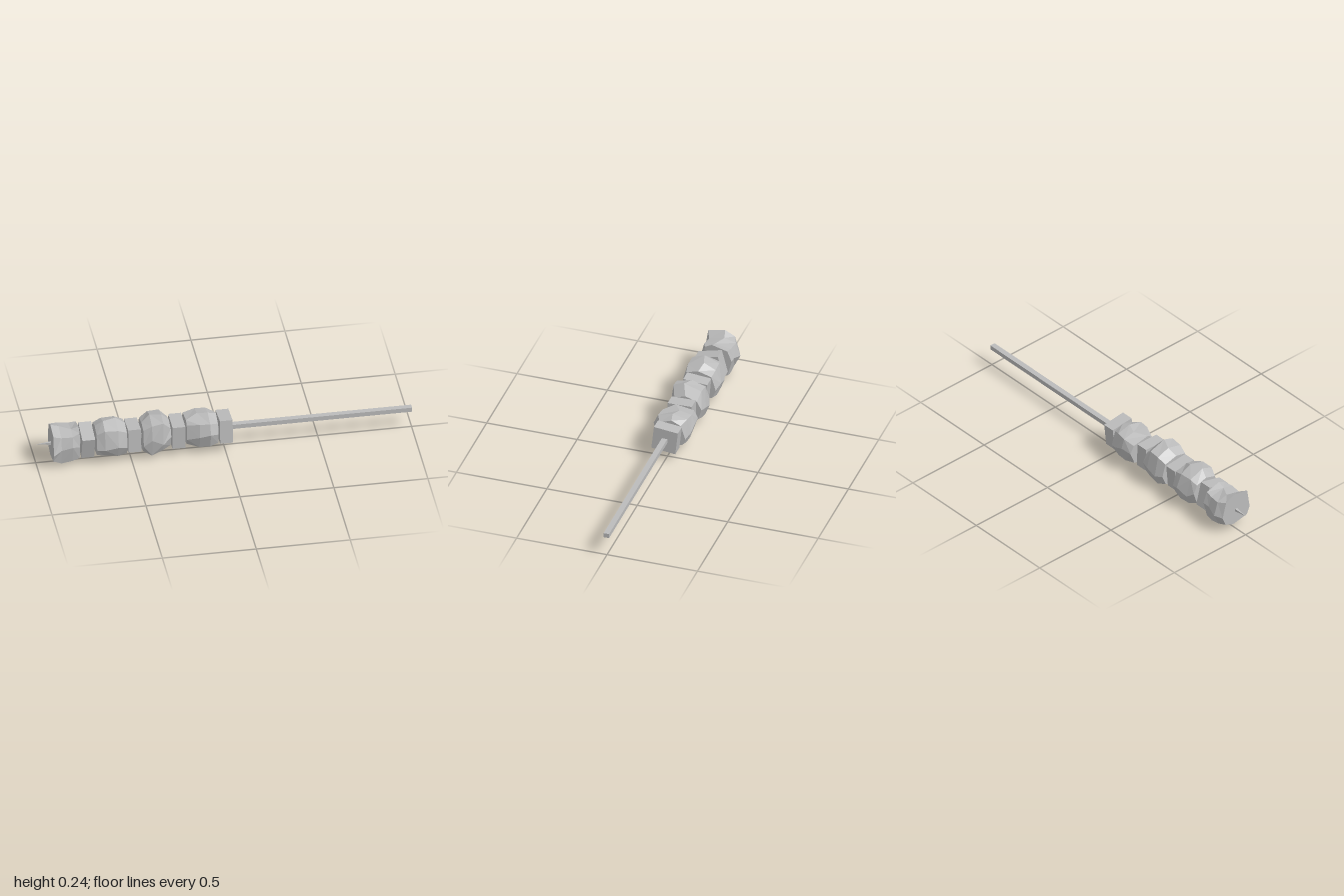
import * as THREE from 'three';

const AXIS_Y = 0.12, AXIS_Z = 0.004;

// small seeded generator for the uneven cuts of the chunks
function seeded(seed) {
  let s = seed;
  return () => (s = (s * 16807) % 2147483647) / 2147483647;
}

// faceted chunk from cross-sections [x, bottom, top, back z, front z]
function chunkGeometry(sections, seed) {
  const rand = seeded(seed), n = 8, pos = [], idx = [];
  for (const [x, y0, y1, z0, z1] of sections) {
    for (let j = 0; j < n; j++) {
      const a = (j / n) * Math.PI * 2;
      const c = Math.cos(a), s = Math.sin(a);
      const k = j % 2 ? 0.98 + rand() * 0.2 : 1;
      const slide = j % 2 ? 0 : (rand() - 0.5) * 0.05;
      const y = AXIS_Y + s * k * (s > 0 ? y1 - AXIS_Y : AXIS_Y - y0) + slide * Math.abs(c);
      const z = c * k * (c > 0 ? z1 : -z0) + slide * Math.abs(s);
      pos.push(x, y, z);
    }
  }
  const last = (sections.length - 1) * n;
  for (let i = 0; i < last; i += n) {
    for (let j = 0; j < n; j++) {
      const a = i + j, b = i + ((j + 1) % n), c = a + n, d = b + n;
      if (rand() > 0.5) idx.push(a, c, b, b, c, d);
      else idx.push(a, c, d, a, d, b);
    }
  }
  // end caps
  const mid = pos.length / 3;
  pos.push(sections[0][0], AXIS_Y, 0, sections.at(-1)[0], AXIS_Y, 0);
  for (let j = 0; j < n; j++) {
    const k = (j + 1) % n;
    idx.push(mid, j, k, mid + 1, last + k, last + j);
  }
  const g = new THREE.BufferGeometry();
  g.setAttribute('position', new THREE.Float32BufferAttribute(pos, 3));
  g.setIndex(idx);
  const flat = g.toNonIndexed();
  flat.computeVertexNormals();
  return flat;
}

export function createModel() {
  const model = new THREE.Group();
  model.name = 'skewer';
  const grey = new THREE.MeshStandardMaterial({ color: 0xbbbbbb });
  grey.name = 'grey';
  grey.flatShading = true;
  const add = (name, geometry, x, y = AXIS_Y, z = AXIS_Z) => {
    const mesh = new THREE.Mesh(geometry, grey);
    mesh.name = name;
    mesh.position.set(x, y, z);
    model.add(mesh);
    return mesh;
  };

  // square stick with a sharpened end
  add('stick', new THREE.BoxGeometry(1.85, 0.025, 0.03), 0.075);
  const tip = new THREE.ConeGeometry(0.019, 0.15, 4);
  tip.rotateY(Math.PI / 4).rotateZ(Math.PI / 2);
  add('stickTip', tip, -0.925);

  // square slices, each turned a little around the stick
  [[-0.732, 0.25], [-0.485, -0.09], [-0.25, 0.02], [0.003, -0.11]].forEach(([x, turn], i) => {
    const slice = add('slice' + (i + 1), new THREE.BoxGeometry(0.068, 0.133, 0.133), x);
    slice.rotation.x = turn;
  });

  // faceted chunks between the slices
  const chunks = [
    [[-0.92, 0.035, 0.225, -0.09, 0.1], [-0.875, 0.01, 0.205, -0.11, 0.085],
      [-0.815, 0.002, 0.2, -0.095, 0.085], [-0.775, 0.02, 0.215, -0.095, 0.065]],
    [[-0.687, 0.05, 0.2, -0.085, 0.085], [-0.645, 0.035, 0.232, -0.1, 0.1],
      [-0.575, 0.023, 0.232, -0.105, 0.105], [-0.527, 0.035, 0.205, -0.09, 0.095]],
    [[-0.44, 0.03, 0.2, -0.085, 0.09], [-0.395, 0.015, 0.235, -0.1, 0.1],
      [-0.335, 0.03, 0.245, -0.1, 0.095], [-0.292, 0.05, 0.195, -0.09, 0.08]],
    [[-0.205, 0.045, 0.195, -0.1, 0.065], [-0.14, 0.025, 0.205, -0.105, 0.09],
      [-0.085, 0.03, 0.213, -0.1, 0.105], [-0.04, 0.045, 0.2, -0.085, 0.08]],
  ];
  chunks.forEach((sections, i) => {
    add('chunk' + (i + 1), chunkGeometry(sections, 4021 + i * 977), 0, 0, 0);
  });

  return model;
}
